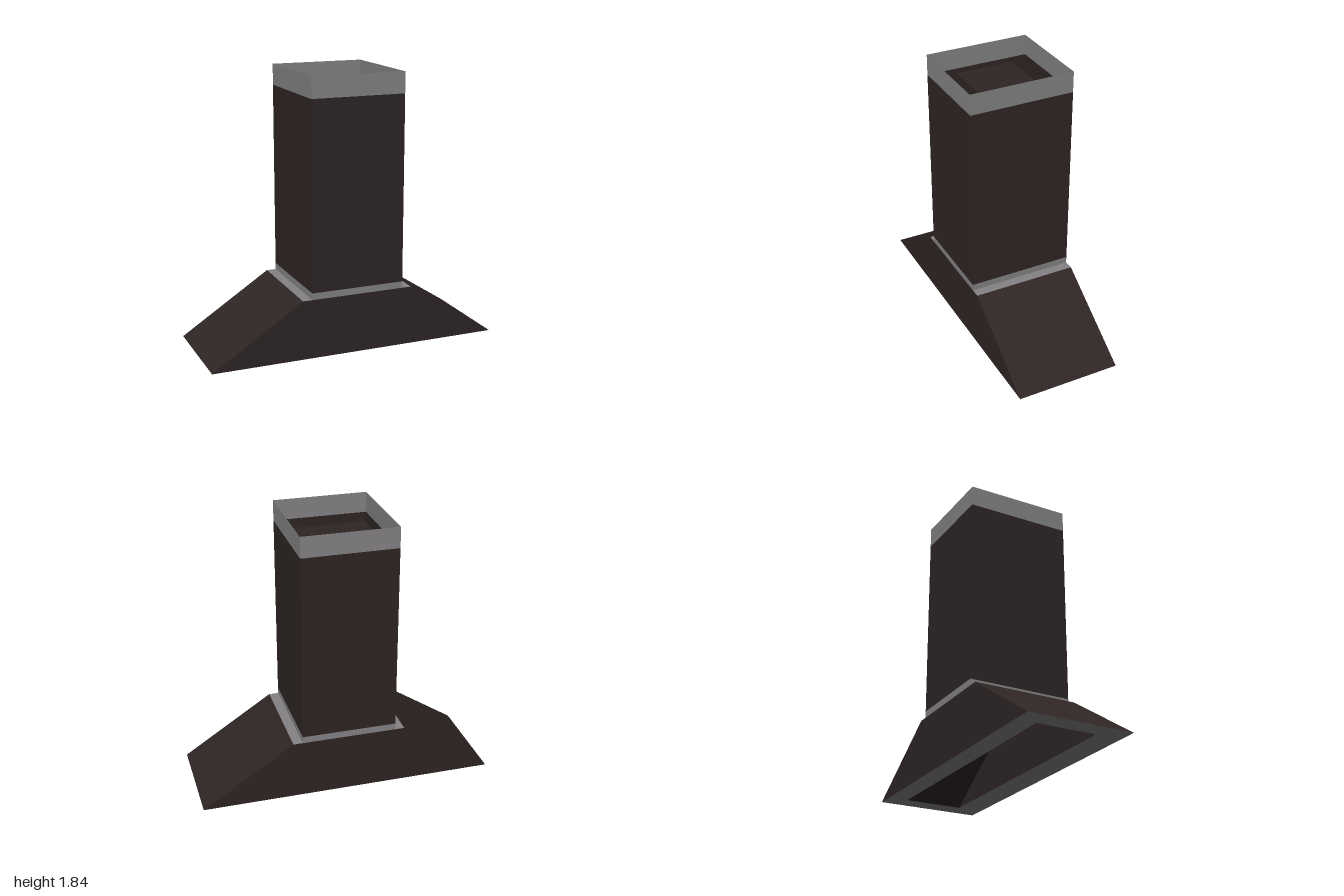
import * as THREE from 'three';

const HALF_DEPTH = 0.355;
const DUCT_BACK = -0.22, DUCT_FRONT = 0.18;

const darkMetal = new THREE.MeshStandardMaterial({ name: 'darkMetal', color: 0x2e2524, side: THREE.DoubleSide });
const greyMetal = new THREE.MeshStandardMaterial({ name: 'greyMetal', color: 0x848284, side: THREE.DoubleSide });

const toShape = (points) => new THREE.Shape(points.map(([x, y]) => new THREE.Vector2(x, y)));

// Sheet following an outline in x and y, stretched from z0 to z1
function ribbon(points, z0, z1) {
  const v = [];
  for (let i = 0; i < points.length - 1; i++) {
    const [px, py] = points[i], [qx, qy] = points[i + 1];
    v.push(px, py, z1, px, py, z0, qx, qy, z0);
    v.push(px, py, z1, qx, qy, z0, qx, qy, z1);
  }
  const g = new THREE.BufferGeometry();
  g.setAttribute('position', new THREE.Float32BufferAttribute(v, 3));
  g.computeVertexNormals();
  return g;
}

// Flat end wall, symmetric in x
function endWall(points, z, faceBack) {
  const g = new THREE.ShapeGeometry(toShape(points));
  if (faceBack) g.rotateY(Math.PI);
  return g.translate(0, 0, z);
}

// Open rectangular sleeve
function sleeve(width, depth, y0, y1) {
  const r = Math.SQRT1_2;
  const g = new THREE.CylinderGeometry(r, r, y1 - y0, 4, 1, true).rotateY(Math.PI / 4).toNonIndexed();
  g.scale(width, 1, depth).translate(0, (y0 + y1) / 2, 0);
  g.computeVertexNormals();
  return g;
}

// Horizontal frame with the duct opening cut out of it
function frame(halfWidth, holeHalfWidth, y, faceUp) {
  const s = faceUp ? -1 : 1;
  const rect = (w, a, b) => [[-w, a * s], [w, a * s], [w, b * s], [-w, b * s]];
  const shape = toShape(rect(halfWidth, -HALF_DEPTH, HALF_DEPTH));
  shape.holes.push(toShape(rect(holeHalfWidth, DUCT_BACK, DUCT_FRONT)));
  return new THREE.ShapeGeometry(shape).rotateX(s * Math.PI / 2).translate(0, y, 0);
}

export function createModel() {
  const model = new THREE.Group();
  model.name = 'cookerHood';
  const add = (name, geometry, material) => {
    const mesh = new THREE.Mesh(geometry, material);
    mesh.name = name;
    model.add(mesh);
  };

  // Flared canopy
  const canopy = [[1, 0], [0.385, 0.4], [-0.385, 0.4], [-1, 0]];
  add('canopyLeftSlope', ribbon(canopy.slice(0, 2), -HALF_DEPTH, HALF_DEPTH), darkMetal);
  add('canopyRightSlope', ribbon(canopy.slice(2), -HALF_DEPTH, HALF_DEPTH), darkMetal);
  add('canopyFront', endWall(canopy, HALF_DEPTH, false), darkMetal);
  add('canopyBack', endWall(canopy, -HALF_DEPTH, true), darkMetal);
  add('canopyTop', frame(0.385, 0.32, 0.4, true), greyMetal);
  add('bottomRim', frame(1, 0.87, 0, false), greyMetal);

  // Chimney, open at the top, with trim bands
  const bands = [
    ['chimneyCollar', 0.4, 0.445, greyMetal],
    ['chimney', 0.445, 1.7, darkMetal],
    ['chimneyTopBand', 1.7, 1.84, greyMetal],
  ];
  for (const [name, y0, y1, material] of bands) {
    add(name, sleeve(0.64, HALF_DEPTH * 2, y0, y1), material);
  }

  // Inner intake and duct, open below and capped near the chimney top
  const duct = [[0.87, 0], [0.255, 0.4], [0.255, 1.7], [-0.255, 1.7], [-0.255, 0.4], [-0.87, 0]];
  add('ductShell', ribbon(duct, DUCT_BACK, DUCT_FRONT), darkMetal);
  add('ductFront', endWall(duct, DUCT_FRONT, false), darkMetal);
  add('ductBack', endWall(duct, DUCT_BACK, true), darkMetal);

  return model;
}
